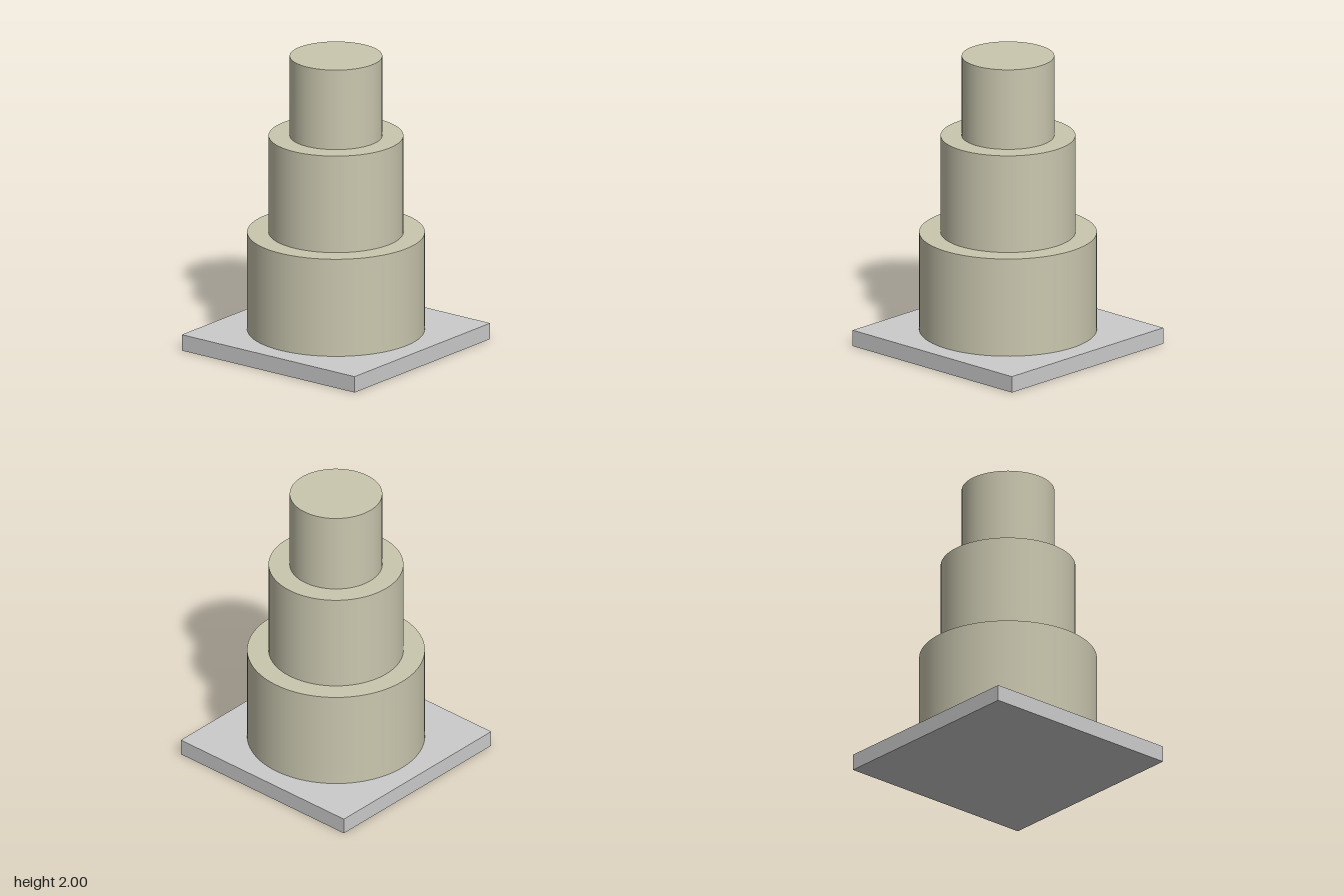
import * as THREE from 'three';

export function createModel() {
  const model = new THREE.Group();
  const grey = new THREE.MeshStandardMaterial({ color: 0xcccccc });
  const cream = new THREE.MeshStandardMaterial({ color: 0xcac7af });

  const add = (name, geometry, material, x, y, z) => {
    const mesh = new THREE.Mesh(geometry, material);
    mesh.name = name;
    mesh.position.set(x, y, z);
    model.add(mesh);
  };

  // Square board under the cake
  const boardTop = 0.11;
  add('board', new THREE.BoxGeometry(1.446, boardTop, 1.446), grey, 0, boardTop / 2, 0);

  // Three stacked round tiers: name, radius, bottom, top
  const tiers = [
    ['bottomTier', 0.585, boardTop, 0.782],
    ['middleTier', 0.444, 0.782, 1.45],
    ['topTier', 0.305, 1.45, 2],
  ];
  for (const [name, radius, bottom, top] of tiers) {
    const geometry = new THREE.CylinderGeometry(radius, radius, top - bottom, 96);
    add(name, geometry, cream, 0, (bottom + top) / 2, 0);
  }

  // Blank plaque lying on the front right corner of the board
  const plaque = new THREE.PlaneGeometry(0.345, 0.175).rotateX(-Math.PI / 2);
  add('plaque', plaque, grey, -0.508, boardTop + 0.002, 0.588);

  return model;
}
